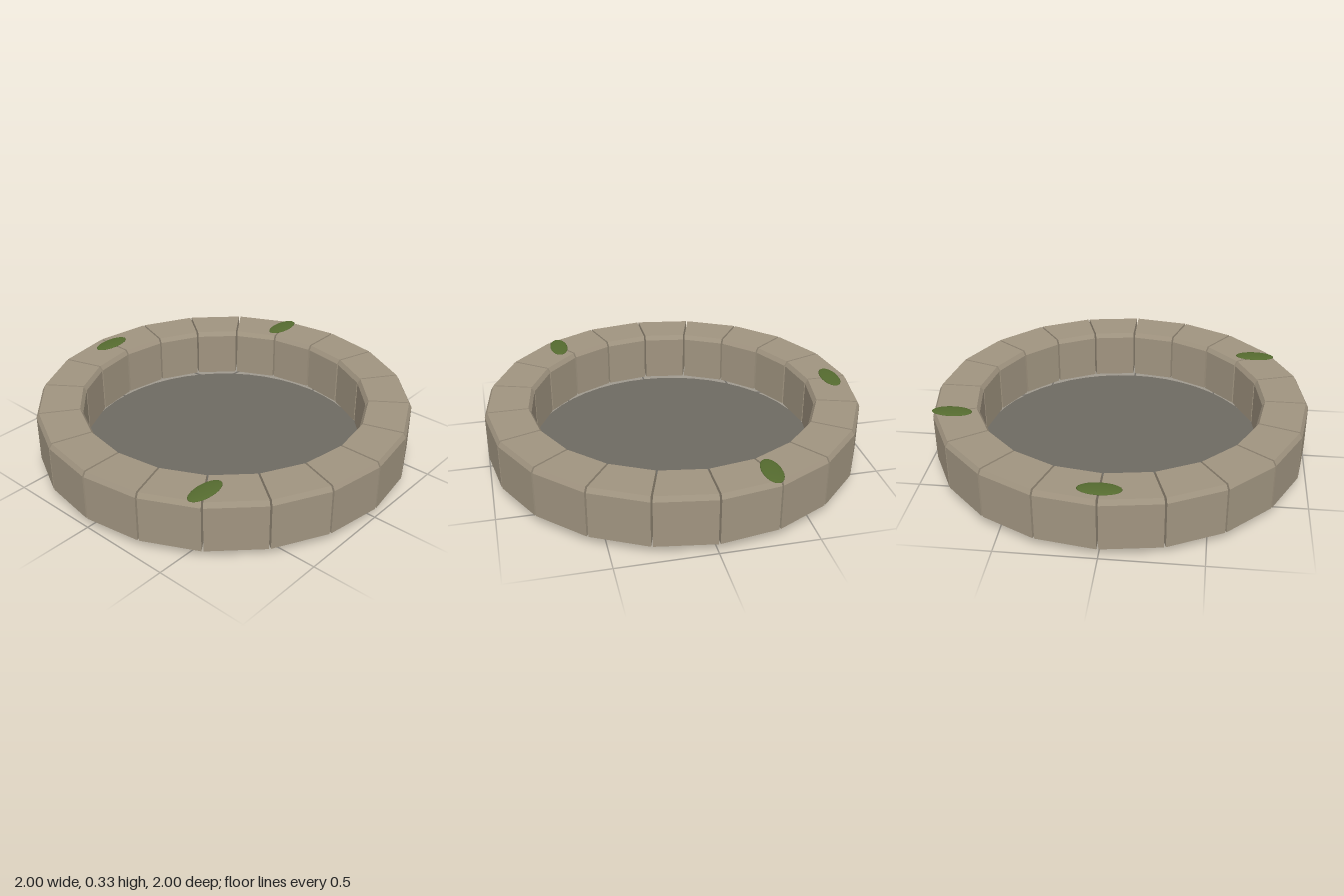
import * as THREE from 'three';

const BLOCKS = 20;
const STEP = (Math.PI * 2) / BLOCKS;
const HALF_GAP = 0.005;

// One wedge-shaped stone: radial cross-section swept in a straight line between two seams.
function blockGeometry() {
  const section = new THREE.Shape([
    [0.757, 0.055], [1, 0.055], [1, 0.3], [0.985, 0.325], [0.772, 0.325], [0.757, 0.3],
  ].map(([r, y]) => new THREE.Vector2(r, y)));
  const geo = new THREE.ExtrudeGeometry(section, { depth: 1, bevelEnabled: false });
  const p = geo.attributes.position;
  for (let i = 0; i < p.count; i++) {
    const r = p.getX(i);
    const end = p.getZ(i) > 0.5 ? 1 : -1;
    const a = end * STEP / 2;
    const inset = -end * HALF_GAP; // keeps a narrow parallel joint between stones
    p.setX(i, r * Math.cos(a) - inset * Math.sin(a));
    p.setZ(i, r * Math.sin(a) + inset * Math.cos(a));
  }
  geo.computeVertexNormals();
  return geo;
}

export function createModel() {
  const model = new THREE.Group();
  model.name = 'stoneRing';
  const stone = new THREE.MeshStandardMaterial({ color: 0xa09480 });
  const floorMat = new THREE.MeshStandardMaterial({ color: 0x6e6a62 });
  const mossMat = new THREE.MeshStandardMaterial({ color: 0x556b2f });

  // Ring of stones
  const ring = new THREE.Group();
  ring.name = 'stoneBlocks';
  const geo = blockGeometry();
  for (let i = 0; i < BLOCKS; i++) {
    const block = new THREE.Mesh(geo, stone);
    block.name = 'stoneBlock';
    block.rotation.y = (i + 0.5) * STEP;
    ring.add(block);
  }
  model.add(ring);

  // Floor disc
  const floor = new THREE.Mesh(new THREE.CylinderGeometry(0.78, 0.78, 0.025, 48), floorMat);
  floor.name = 'floorDisc';
  floor.position.y = 0.0125;
  model.add(floor);

  // Flat moss patches on the rim
  const mossGeo = new THREE.SphereGeometry(1, 32, 12).scale(0.107, 0.008, 0.05);
  for (const [x, z] of [[0, -0.9], [0.855, -0.285], [-0.725, 0.53]]) {
    const moss = new THREE.Mesh(mossGeo, mossMat);
    moss.name = 'mossPatch';
    moss.position.set(x, 0.325, z);
    model.add(moss);
  }
  return model;
}
